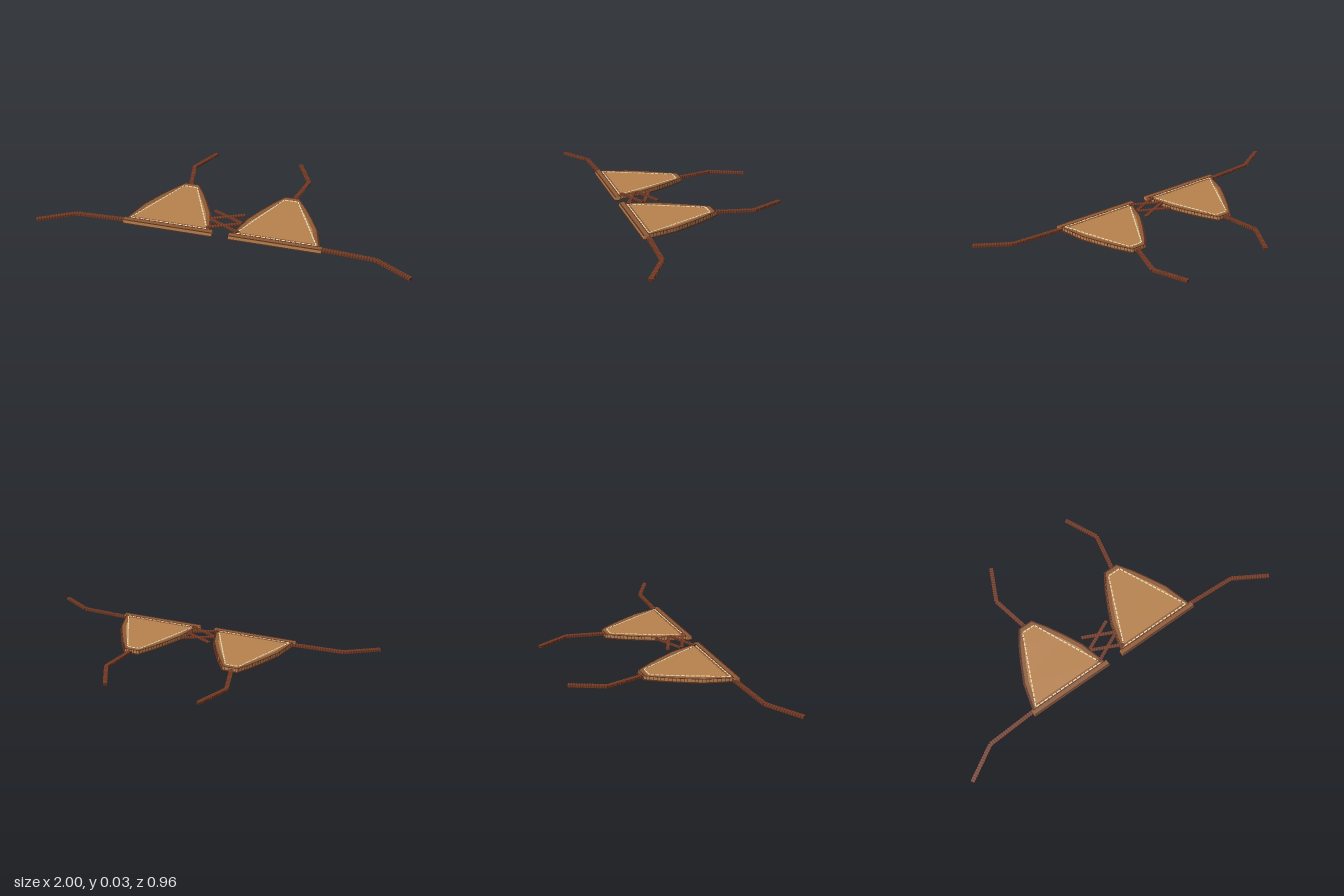
import * as THREE from 'three';

const mat = (name, color) => {
  const m = new THREE.MeshStandardMaterial({ color });
  m.name = name;
  return m;
};

export function createModel() {
  const root = new THREE.Group();
  root.name = 'lacedLeatherTop';
  const tan = mat('tanLeather', 0xb8824e);
  const brown = mat('brownTrim', 0x8f5c36);
  const cord = mat('cordBrown', 0x7a3c26);
  const dark = mat('darkBrown', 0x5a2e1c);
  const cream = mat('creamThread', 0xeedcb4);

  const add = (parent, name, geo, material) => {
    const mesh = new THREE.Mesh(geo, material);
    mesh.name = name;
    parent.add(mesh);
    return mesh;
  };

  // Box laid flat between two [x, z] points
  const bar = (parent, name, a, b, width, y0, y1, material) => {
    const dx = b[0] - a[0], dz = b[1] - a[1];
    const mesh = add(parent, name, new THREE.BoxGeometry(Math.hypot(dx, dz), y1 - y0, width), material);
    mesh.position.set((a[0] + b[0]) / 2, (y0 + y1) / 2, (a[1] + b[1]) / 2);
    mesh.rotation.y = -Math.atan2(dz, dx);
  };

  // Short pieces spaced evenly along a line
  const dashes = (a, b, pitch, fill, fn) => {
    const n = Math.max(1, Math.round(Math.hypot(b[0] - a[0], b[1] - a[1]) / pitch));
    const at = t => [a[0] + (b[0] - a[0]) * t, a[1] + (b[1] - a[1]) * t];
    for (let i = 0; i < n; i++) fn(at((i + 0.5 - fill / 2) / n), at((i + 0.5 + fill / 2) / n));
  };

  // Mitred inset of a closed [x, z] outline
  const inset = (pts, d) => pts.map((p, i) => {
    const n = pts.length, a = pts[(i + n - 1) % n], b = pts[(i + 1) % n];
    const normal = (u, v) => {
      const l = Math.hypot(v[0] - u[0], v[1] - u[1]);
      return [(v[1] - u[1]) / l, -(v[0] - u[0]) / l];
    };
    const m = normal(a, p), k = normal(p, b);
    const s = d / (1 + m[0] * k[0] + m[1] * k[1]);
    return [p[0] + (m[0] + k[0]) * s, p[1] + (m[1] + k[1]) * s];
  });

  const vectors = pts => pts.map(([x, z]) => new THREE.Vector2(x, -z));
  const slab = (pts, y0, y1, hole) => {
    const shape = new THREE.Shape(vectors(pts));
    if (hole) shape.holes.push(new THREE.Path(vectors(hole)));
    return new THREE.ExtrudeGeometry(shape, { depth: y1 - y0, bevelEnabled: false })
      .rotateX(-Math.PI / 2).translate(0, y0, 0);
  };

  // Closed outline from half widths about the cup's centre line
  const mirrored = half => [
    ...half.map(([x, z]) => [0.291 + x, z]),
    ...half.slice().reverse().map(([x, z]) => [0.291 - x, z]),
  ];
  const cup = mirrored([[0.232, 0.345], [0.19, 0.19], [0.141, 0.09], [0.092, 0], [0.04, -0.08]]);
  const seam = mirrored([[0.213, 0.333], [0.038, -0.05]]);

  // Braided cord: dark core with lighter strands
  const braid = (parent, name, a, b, width, y0, y1) => {
    bar(parent, name, a, b, width * 0.9, y0, y1 - 0.001, dark);
    dashes(a, b, 0.014, 0.6, (p, q) =>
      bar(parent, name + 'Strand', p, q, width, y0 + 0.002, y1, cord));
  };

  for (const side of [1, -1]) {
    const group = new THREE.Group();
    group.name = side > 0 ? 'leftSide' : 'rightSide';
    root.add(group);
    const flip = ([x, z]) => [x * side, z];
    // Reversing keeps the winding the same on the mirrored side
    const place = pts => (side > 0 ? pts : pts.map(flip).reverse());
    const outline = place(cup), thread = place(seam);

    // Cup: dark backing, leather body, brown trim with a dark rim line
    add(group, 'cupBacking', slab(inset(outline, -0.007), 0, 0.004), dark);
    add(group, 'cupPanel', slab(outline, 0.004, 0.02), tan);
    add(group, 'cupTrim', slab(inset(outline, 0.004), 0.02, 0.0215, inset(outline, 0.024)), brown);
    add(group, 'cupRim', slab(outline, 0.02, 0.022, inset(outline, 0.005)), dark);

    // Edge whipping
    outline.forEach((p, i) => dashes(p, outline[(i + 1) % outline.length], 0.02, 0.12, (a, b) =>
      bar(group, 'edgeStitch', a, b, 0.004, 0.004, 0.0225, dark)));

    // Straight decorative stitch lines
    thread.forEach((p, i) => dashes(p, thread[(i + 1) % thread.length], 0.026, 0.75, (a, b) =>
      bar(group, 'threadStitch', a, b, 0.007, 0.019, 0.0225, cream)));

    // Band under the cup
    const band = (name, z0, z1, x0, x1, y0, y1, m) =>
      bar(group, name, flip([x0, (z0 + z1) / 2]), flip([x1, (z0 + z1) / 2]), z1 - z0, y0, y1, m);
    band('bandBacking', 0.338, 0.371, 0.043, 0.537, 0, 0.004, dark);
    band('band', 0.34, 0.368, 0.046, 0.534, 0.004, 0.02, tan);
    band('bandTop', 0.339, 0.369, 0.046, 0.534, 0.02, 0.0225, brown);
    band('bandUpperSeam', 0.338, 0.342, 0.055, 0.525, 0.02, 0.0232, dark);
    band('bandLowerSeam', 0.363, 0.3695, 0.046, 0.534, 0.0215, 0.0232, dark);

    // Braided ties
    const straps = {
      neckStrap: [[0.298, -0.075], [0.344, -0.29], [0.258, -0.475]],
      backStrap: [[0.51, 0.342], [0.81, 0.358], [0.994, 0.468]],
    };
    for (const [name, path] of Object.entries(straps)) {
      for (let i = 0; i < 2; i++) braid(group, name, flip(path[i]), flip(path[i + 1]), 0.022, 0, 0.015);
    }
  }

  // Two crossed laces joining the cups
  const lacing = new THREE.Group();
  lacing.name = 'lacing';
  root.add(lacing);
  for (const z of [0.16, 0.246]) {
    for (const s of [1, -1]) {
      braid(lacing, 'lace', [-0.085 * s, z], [0.085 * s, z + 0.08], 0.018, 0.021, s > 0 ? 0.0295 : 0.03);
    }
  }
  return root;
}
